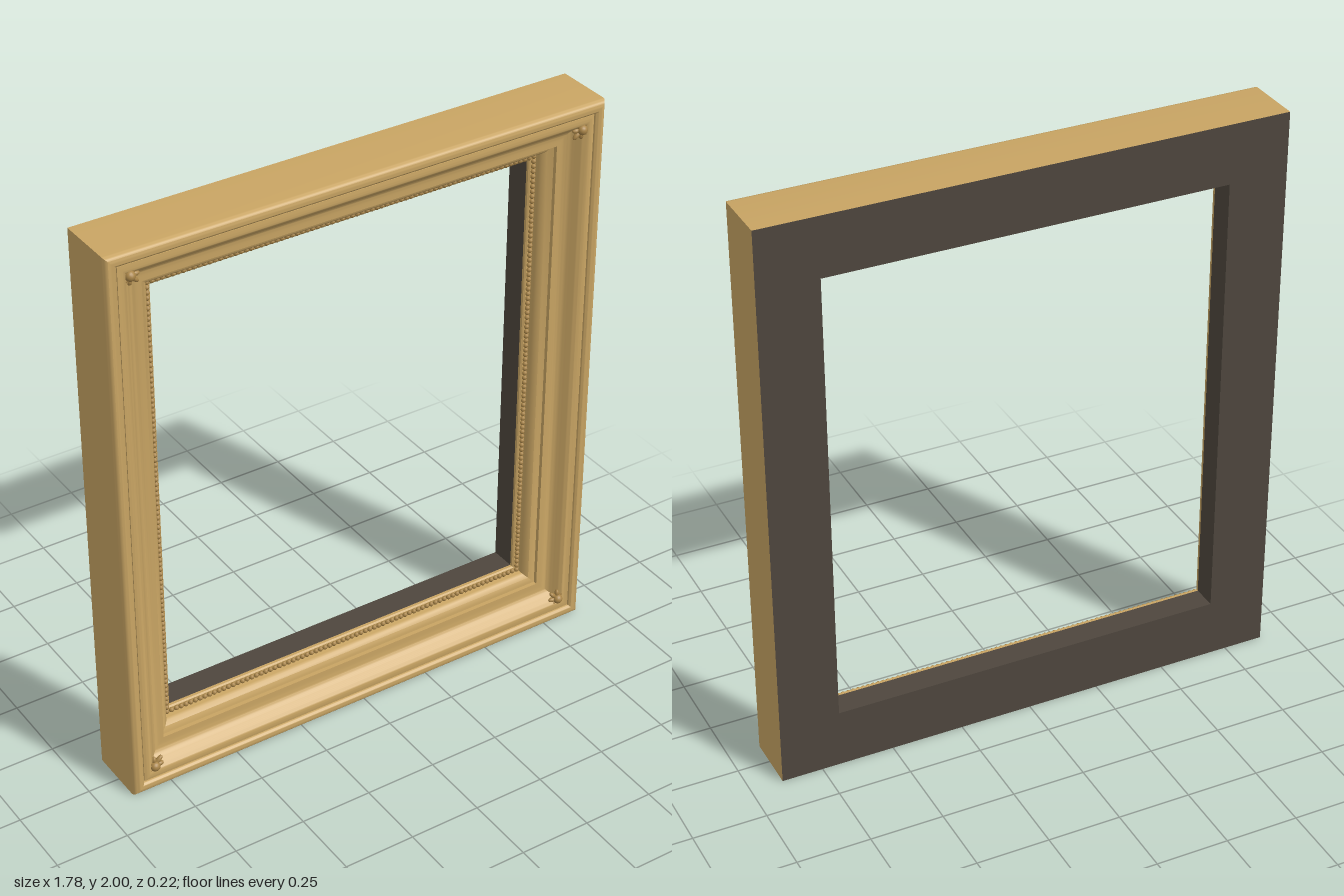
import * as THREE from 'three';
import { mergeGeometries, toCreasedNormals } from 'three/addons/utils/BufferGeometryUtils.js';

const HALF_W = 0.89, HALF_H = 1.0, BACK = -0.112, OPENING = 0.205;

// Sweeps a profile of [inset, z] points round the rectangle with mitred corners.
function mitredSweep(profile, crease = 0.6) {
  const corners = [[-1, -1], [1, -1], [1, 1], [-1, 1]];
  const at = ([sx, sy], [d, z]) => [sx * (HALF_W - d), sy * (HALF_H - d), z];
  const pos = [];
  corners.forEach((a, i) => {
    const b = corners[(i + 1) % 4];
    for (let k = 0; k < profile.length - 1; k++) {
      const p = at(a, profile[k]), q = at(b, profile[k]);
      const r = at(b, profile[k + 1]), s = at(a, profile[k + 1]);
      pos.push(...p, ...q, ...r, ...p, ...r, ...s);
    }
  });
  const g = new THREE.BufferGeometry();
  g.setAttribute('position', new THREE.Float32BufferAttribute(pos, 3));
  return toCreasedNormals(g, crease);
}

// Quarter-round points from angle a0 to a1 about (d, z).
function arc(d, z, r, a0, a1, n = 6) {
  return Array.from({ length: n + 1 }, (_, i) => {
    const a = a0 + (a1 - a0) * i / n;
    return [d + r * Math.cos(a), z + r * Math.sin(a)];
  });
}

export function createModel() {
  const gold = new THREE.MeshStandardMaterial({ color: 0xc8a463 });
  const darkGold = new THREE.MeshStandardMaterial({ color: 0xa88448 });
  const backing = new THREE.MeshStandardMaterial({ color: 0x4e463d });

  const model = new THREE.Group();
  model.name = 'pictureFrame';
  const add = (name, geometry, material, parent = model) => {
    const mesh = new THREE.Mesh(geometry, material);
    mesh.name = name;
    parent.add(mesh);
    return mesh;
  };

  // Gilded moulding: rounded rim, groove, ogee cove, step and sloping inner band
  const cove = new THREE.SplineCurve([
    [0.042, 0.098], [0.058, 0.101], [0.074, 0.095], [0.087, 0.078],
    [0.1, 0.061], [0.118, 0.052], [0.145, 0.05],
  ].map(p => new THREE.Vector2(...p))).getPoints(24).map(v => [v.x, v.y]);
  add('moulding', mitredSweep([
    [0, BACK],
    ...arc(0.022, 0.086, 0.022, Math.PI, Math.PI / 2),
    ...arc(0.026, 0.094, 0.014, Math.PI / 2, 0.1),
    [0.04, 0.09], [0.042, 0.09],
    ...cove,
    [0.145, 0.036], [0.15, 0.034], [0.165, 0.028], [0.176, 0.016], [0.18, 0.006],
    [0.18, -0.01], [0.2, -0.01], [OPENING, -0.014], [OPENING, -0.024],
  ]), gold);

  // Bare wood back and the walls of the opening
  add('woodBack', mitredSweep([[OPENING, -0.024], [OPENING, BACK], [0, BACK]]), backing);

  // Row of small beads round the sight edge
  const beads = [];
  const bx = HALF_W - 0.191, by = HALF_H - 0.191;
  const bead = (x, y) => beads.push(
    new THREE.SphereGeometry(0.0088, 8, 6).translate(x, y, -0.007));
  const nx = Math.round(2 * bx / 0.018), ny = Math.round(2 * by / 0.018);
  for (const s of [-1, 1]) {
    for (let i = 0; i <= nx; i++) bead(-bx + 2 * bx * i / nx, s * by);
    for (let i = 1; i < ny; i++) bead(s * bx, -by + 2 * by * i / ny);
  }
  add('beading', mergeGeometries(beads), darkGold);

  // Corner rosettes: a round boss with petals, turned toward each corner
  const petals = [];
  for (let i = 0; i < 8; i++) {
    const long = i % 2 === 0;
    petals.push(new THREE.SphereGeometry(1, 10, 8)
      .scale(long ? 0.018 : 0.015, 0.008, 0.009)
      .translate(long ? 0.024 : 0.02, 0, 0)
      .rotateZ(i * Math.PI / 4));
  }
  const petalGeometry = mergeGeometries(petals);
  const bossGeometry = new THREE.SphereGeometry(0.017, 16, 12);
  for (const sx of [-1, 1]) for (const sy of [-1, 1]) {
    const rosette = new THREE.Group();
    rosette.name = 'cornerRosette';
    rosette.position.set(sx * (HALF_W - 0.084), sy * (HALF_H - 0.084), 0.09);
    rosette.rotation.z = Math.atan2(sy, sx);
    add('petals', petalGeometry, darkGold, rosette);
    add('boss', bossGeometry, darkGold, rosette).position.z = 0.006;
    model.add(rosette);
  }

  // Stand the frame on the ground
  model.children.forEach(part => { part.position.y += HALF_H; });
  return model;
}
